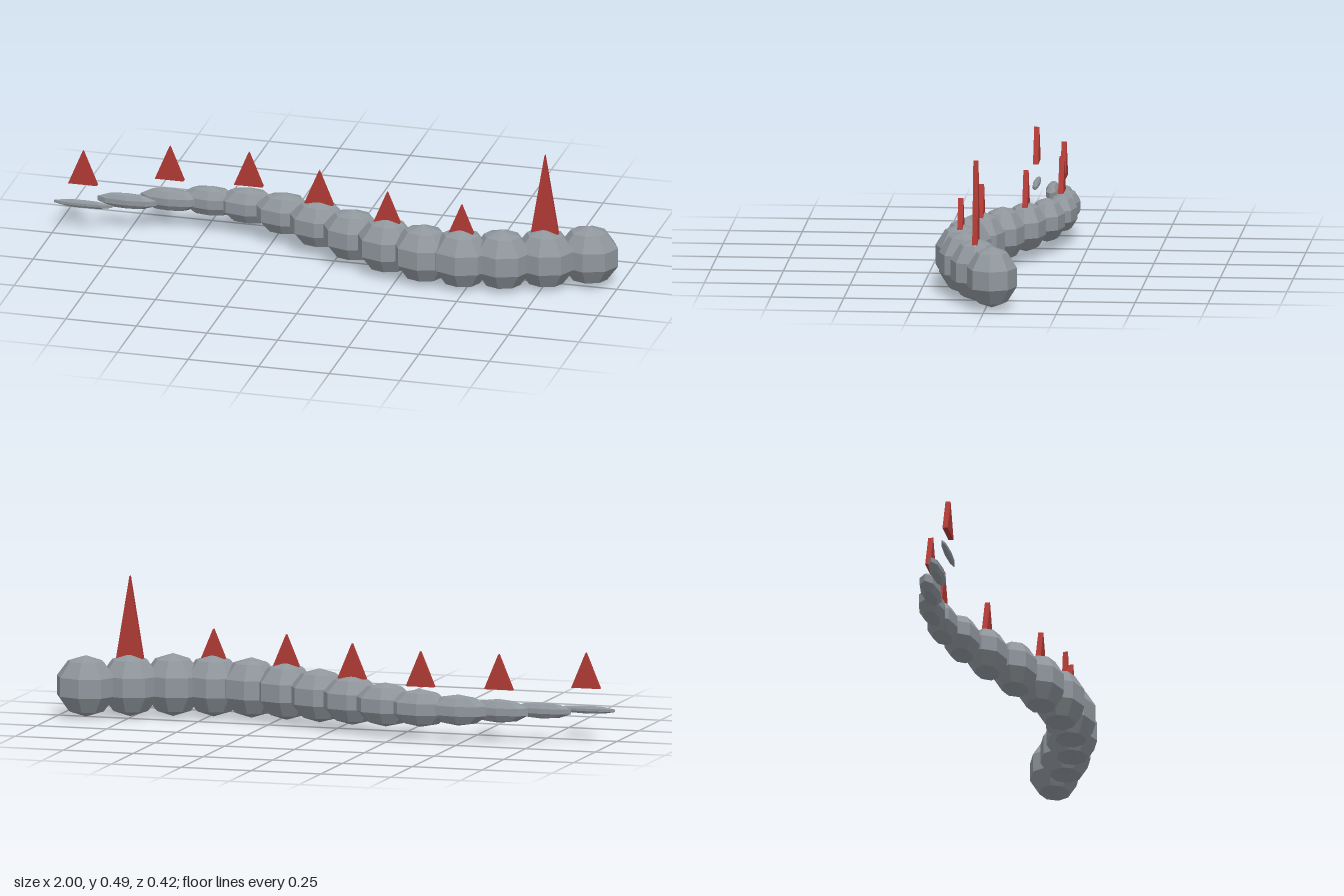
import * as THREE from 'three';

const COUNT = 14;    // body segments, head at +x
const RADIUS = 0.109;
const STEP = 0.1378;

export function createModel() {
  const model = new THREE.Group();
  const grey = new THREE.MeshStandardMaterial({ color: 0x8f969c });
  grey.name = 'bodyGrey';
  const red = new THREE.MeshStandardMaterial({ color: 0xb03a35 });
  red.name = 'spikeRed';

  // faceted ball shared by all segments; normals follow the flat faces
  const ball = new THREE.SphereGeometry(RADIUS, 8, 5).toNonIndexed();
  ball.computeVertexNormals();

  // upright triangular plate, base at y = 0
  const spikeGeometry = (height) => {
    const shape = new THREE.Shape();
    shape.moveTo(-0.051, 0);
    shape.lineTo(0.051, 0);
    shape.lineTo(0, height);
    shape.closePath();
    const depth = 0.018;
    return new THREE.ExtrudeGeometry(shape, { depth, bevelEnabled: false })
      .translate(0, 0, -depth / 2);
  };
  const tallSpike = spikeGeometry(0.304);
  const smallSpike = spikeGeometry(0.122);

  for (let i = 0; i < COUNT; i++) {
    const x = ((COUNT - 1) / 2 - i) * STEP;
    const z = 0.143 * Math.sin((i * 2 * Math.PI) / (COUNT - 1)) - 0.021;

    // segment: constant length, height and width taper towards the tail
    const k = Math.cos((i - 1.8) * 0.1285);
    const segment = new THREE.Mesh(ball, grey);
    segment.name = i === 0 ? 'head' : 'bodySegment' + i;
    segment.position.set(x, RADIUS, z);
    segment.scale.set(1, k, k * 0.85);
    model.add(segment);

    // back spike on every second segment, the first one tall
    if (i % 2 === 1) {
      const spike = new THREE.Mesh(i === 1 ? tallSpike : smallSpike, red);
      spike.name = i === 1 ? 'tallSpike' : 'backSpike' + i;
      spike.position.set(x, 0.183, z);
      model.add(spike);
    }
  }
  return model;
}
